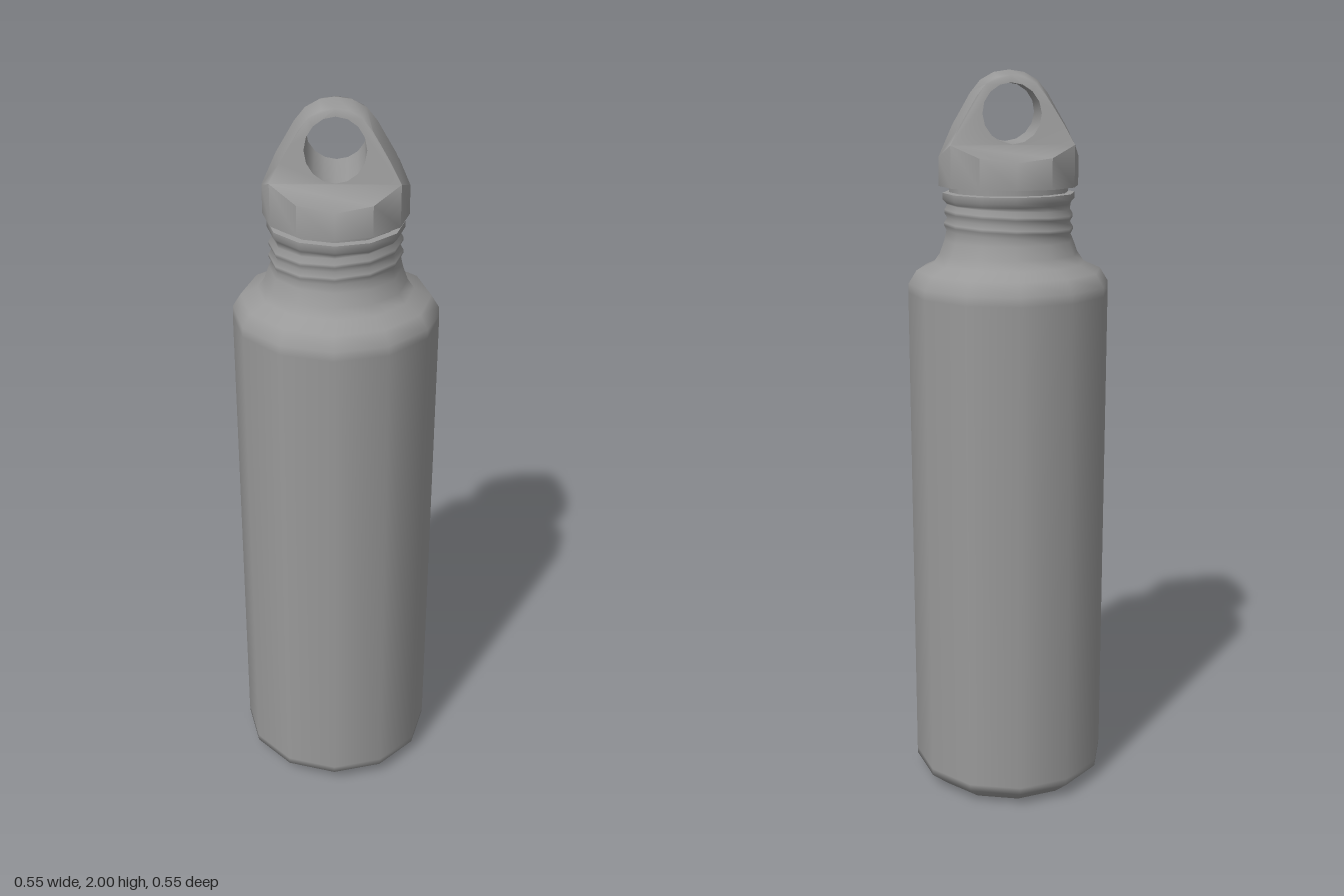
import * as THREE from 'three';
import { mergeGeometries, toCreasedNormals } from 'three/addons/utils/BufferGeometryUtils.js';

const SIDES = 12;
const HOLE_Y = 1.891, HOLE_R = 0.077;
const CAP_R = 0.187, CAP_SIDE_Y = 1.778;
const CREASE_X = CAP_R * Math.sin(Math.PI / 3), CREASE_Y = 1.812, CREASE_Z = CAP_R / 2;

// Height of the sloping cap top at a given distance from the loop
const slopeY = (z) => CREASE_Y - 0.43 * (Math.abs(z) - CREASE_Z);

function lathe(points) {
  return new THREE.LatheGeometry(points.map(([r, y]) => new THREE.Vector2(r, y)), SIDES);
}

// Move every vertex by a rule
function warp(geometry, rule) {
  const p = geometry.attributes.position, v = new THREE.Vector3();
  for (let i = 0; i < p.count; i++) {
    rule(v.fromBufferAttribute(p, i));
    p.setXYZ(i, v.x, v.y, v.z);
  }
  return geometry;
}

// Carrying loop: arch with a round hole, tapered towards the top and crowned outwards
function loopGeometry() {
  const half = [[CREASE_X, CREASE_Y], [0.135, 1.862], [0.112, 1.9], [0.09, 1.935], [0.066, 1.964], [0.035, 1.981]];
  const outline = [...half, [0, 1.986], ...half.map(([x, y]) => [-x, y]).reverse()];
  const shape = new THREE.Shape(outline.map(([x, y]) => new THREE.Vector2(x, y)));
  const hole = [];
  for (let i = 0; i < 16; i++) {
    const a = -i / 16 * Math.PI * 2;
    hole.push(new THREE.Vector2(HOLE_R * Math.cos(a), HOLE_Y + HOLE_R * Math.sin(a)));
  }
  shape.holes.push(new THREE.Path(hole));
  const geometry = new THREE.ExtrudeGeometry(shape, { depth: 2, steps: 2, bevelEnabled: false });
  geometry.translate(0, 0, -1);
  return warp(geometry, (v) => {
    const outer = Math.hypot(v.x, v.y - HOLE_Y) > HOLE_R + 0.005;
    if (outer && Math.abs(v.z) < 0.01) {
      if (v.y < CREASE_Y + 0.01) {
        // the foot of the arch meets the cap rim
        v.set(Math.sign(v.x) * CAP_R, CAP_SIDE_Y, 0);
      } else {
        const up = Math.max(0, v.y - HOLE_Y), len = Math.hypot(v.x, up);
        v.x += 0.014 * v.x / len;
        v.y += 0.014 * up / len;
      }
    }
    v.z *= CREASE_Z - 0.23 * (v.y - CREASE_Y);
  });
}

// Sloping segment of the cap between the rim and the loop
function capSlopeGeometry() {
  const points = [];
  for (let i = -2; i <= 2; i++) {
    const a = i * Math.PI / 6, z = CAP_R * Math.cos(a);
    points.push(CAP_R * Math.sin(a), slopeY(z), z);
  }
  const geometry = new THREE.BufferGeometry();
  geometry.setAttribute('position', new THREE.Float32BufferAttribute(points, 3));
  geometry.setIndex([0, 1, 2, 0, 2, 3, 0, 3, 4]);
  return geometry;
}

// Cap underside and wall, with the rim following the sloping top
function capWallGeometry() {
  const wall = lathe([[0.14, 1.703], [CAP_R, 1.703], [CAP_R, CAP_SIDE_Y]]);
  return warp(wall, (v) => {
    if (v.y > 1.75 && Math.abs(v.z) > 0.09) v.y = slopeY(v.z);
  });
}

// Join pieces into one surface with soft shading across shallow edges
function blend(geometries, crease) {
  const bare = geometries.map((geometry) => {
    const g = geometry.index ? geometry.toNonIndexed() : geometry;
    g.deleteAttribute('uv');
    g.deleteAttribute('normal');
    return g;
  });
  return toCreasedNormals(mergeGeometries(bare), crease);
}

export function createModel() {
  const group = new THREE.Group();
  const material = new THREE.MeshStandardMaterial({ color: 0x999999 });
  const add = (name, geometry) => {
    const mesh = new THREE.Mesh(geometry, material);
    mesh.name = name;
    group.add(mesh);
    return mesh;
  };

  // Recessed base disc
  const base = add('base', new THREE.CircleGeometry(0.2, SIDES));
  base.rotation.x = Math.PI / 2;
  base.position.y = 0.01;

  // Body, shoulder and neck with soft, slightly tilted thread ridges
  const bottle = lathe([
    [0.2, 0.01], [0.225, 0], [0.272, 0.04], [0.273, 0.06],
    [0.273, 1.42], [0.272, 1.445], [0.25, 1.48], [0.205, 1.5], [0.187, 1.525], [0.174, 1.56],
    [0.168, 1.58], [0.174, 1.592], [0.174, 1.6], [0.166, 1.613], [0.173, 1.626], [0.173, 1.634],
    [0.165, 1.648], [0.168, 1.658], [0.177, 1.668], [0.177, 1.685],
  ]);
  add('bottle', warp(bottle, (v) => {
    if (v.y > 1.57 && v.y < 1.65) v.y += 0.04 * v.x;
  }));

  // Narrow gap under the cap
  add('neckTop', lathe([[0.177, 1.685], [0.16, 1.687]]));
  add('neckGap', lathe([[0.16, 1.687], [0.16, 1.72]]));

  // Cap and carrying loop
  add('cap', blend([
    capWallGeometry(),
    capSlopeGeometry(),
    capSlopeGeometry().rotateY(Math.PI),
    loopGeometry(),
  ], 1.2));
  return group;
}
